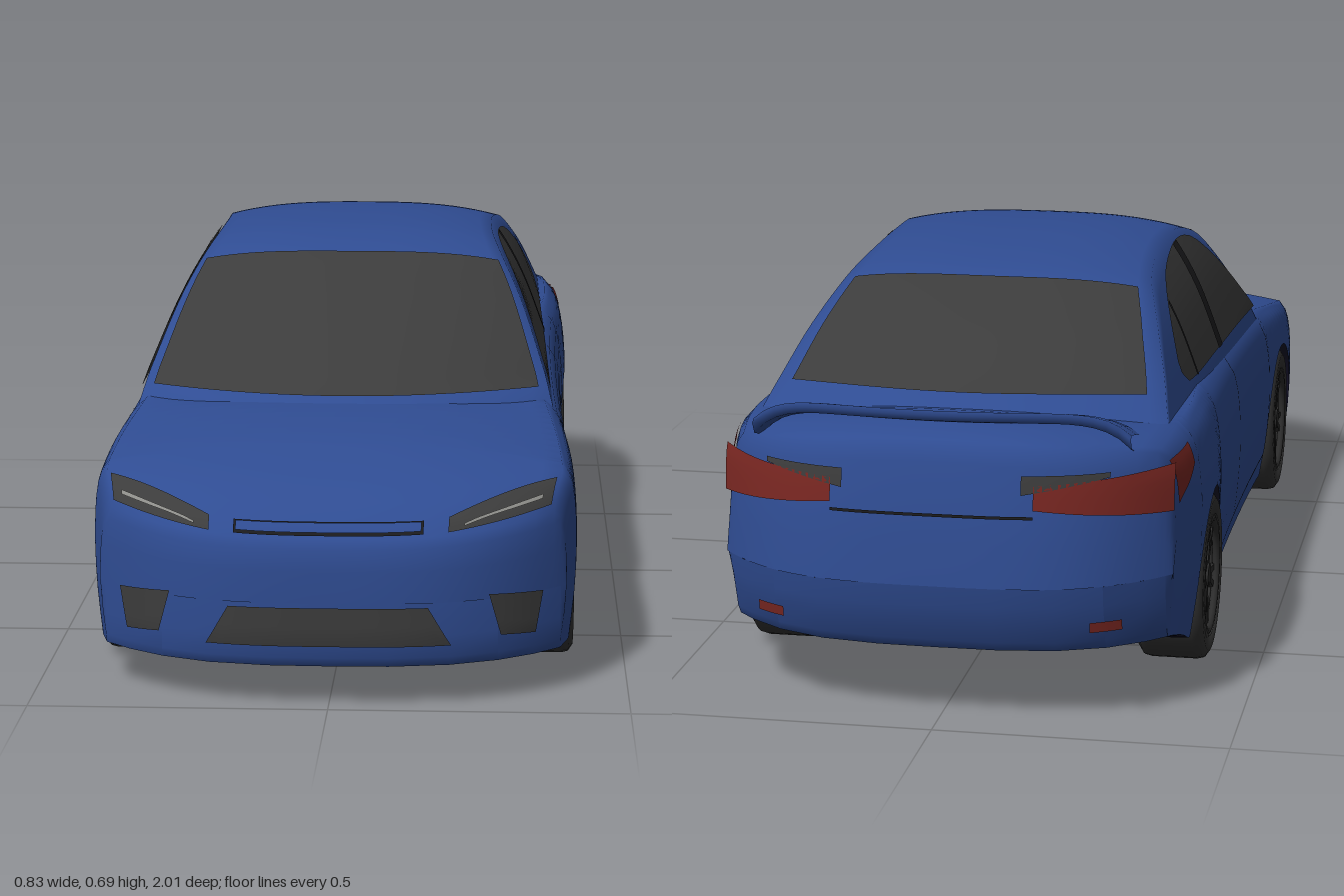
import * as THREE from 'three';

const material = (name, color) => new THREE.MeshStandardMaterial({ name, color, side: THREE.DoubleSide });

// Smooth interpolation through [x, y] points given in ascending x, clamped at the ends
function curve(p) {
  const slope = (i) => {
    const a = p[Math.max(i - 1, 0)], b = p[Math.min(i + 1, p.length - 1)];
    return (b[1] - a[1]) / (b[0] - a[0]);
  };
  return (x) => {
    if (x <= p[0][0]) return p[0][1];
    if (x >= p[p.length - 1][0]) return p[p.length - 1][1];
    let i = 0;
    while (x > p[i + 1][0]) i++;
    const h = p[i + 1][0] - p[i][0], t = (x - p[i][0]) / h, t2 = t * t, t3 = t2 * t;
    return (2 * t3 - 3 * t2 + 1) * p[i][1] + (t3 - 2 * t2 + t) * h * slope(i)
      + (3 * t2 - 2 * t3) * p[i + 1][1] + (t3 - t2) * h * slope(i + 1);
  };
}

// Skin over a list of equally long cross-sections
function loft(name, mat, sections) {
  const n = sections[0].length, index = [];
  for (let i = 0; i < sections.length - 1; i++) {
    for (let j = 0; j < n - 1; j++) {
      const a = i * n + j, b = a + n;
      index.push(a, b, a + 1, b, b + 1, a + 1);
    }
  }
  const geo = new THREE.BufferGeometry();
  geo.setAttribute('position', new THREE.Float32BufferAttribute(sections.flat(2), 3));
  geo.setIndex(index);
  geo.computeVertexNormals();
  const mesh = new THREE.Mesh(geo, mat);
  mesh.name = name;
  return mesh;
}

function patch(name, mat, nu, nv, fn) {
  const rows = [];
  for (let i = 0; i <= nu; i++) {
    rows.push([]);
    for (let j = 0; j <= nv; j++) rows[i].push(fn(i / nu, j / nv));
  }
  return loft(name, mat, rows);
}

const lerp = THREE.MathUtils.lerp;
const mirror = (half) => [...half.map(([x, y, z]) => [-x, y, z]), ...half.slice(0, -1).reverse()];

// Lower body: half width, shoulder height, centre height and floor height along the length
const width = curve([[-0.955, 0.385], [-0.85, 0.4], [-0.7, 0.41], [-0.53, 0.413], [-0.35, 0.403], [0, 0.398],
  [0.4, 0.403], [0.6, 0.413], [0.76, 0.413], [0.85, 0.408], [0.985, 0.395]]);
const shoulder = curve([[-0.955, 0.455], [-0.85, 0.465], [-0.7, 0.47], [-0.45, 0.462], [0, 0.445], [0.4, 0.42],
  [0.6, 0.395], [0.8, 0.365], [0.9, 0.35], [0.97, 0.322], [0.985, 0.308]]);
const deck = curve([[-0.955, 0.488], [-0.9, 0.502], [-0.84, 0.505], [-0.78, 0.498], [-0.7, 0.475], [-0.6, 0.46],
  [0, 0.44], [0.4, 0.423], [0.54, 0.428], [0.7, 0.413], [0.8, 0.39], [0.9, 0.352], [0.97, 0.305], [0.985, 0.285]]);
const floorY = curve([[-0.955, 0.13], [-0.8, 0.105], [-0.69, 0.085], [-0.4, 0.07], [1, 0.07]]);
const inset = curve([[0, 0.02], [0.25, 0.006], [0.55, 0], [0.8, 0.006], [0.93, 0.02], [1, 0.045]]);
const insetScale = curve([[-1, 0.6], [-0.75, 0.9], [-0.5, 1], [0.4, 1], [0.85, 0.5], [1, 0.5]]);
const sideX = (s, y) => width(s) - insetScale(s) * inset((y - floorY(s)) / (shoulder(s) - floorY(s)));
const topY = (s, q) => lerp(deck(s), shoulder(s), Math.abs(q) ** 2.5);

// Rounds the nose and tail in plan
function warp(x, s) {
  const q = Math.abs(x) / 0.4;
  if (s > 0.77) return s - 0.16 * q ** 3 * Math.min(1, (s - 0.77) / 0.22);
  if (s < -0.7) return s + 0.16 * q ** 3.4 * Math.min(1, (-0.7 - s) / 0.25);
  return s;
}

const axles = [0.6, -0.53], archR = 0.16, axleY = 0.15;
function archY(s) {
  for (const c of axles) {
    const d = Math.abs(s - c);
    if (d <= archR + 1e-6) return axleY + Math.sqrt(Math.max(0, archR * archR - d * d));
  }
  return floorY(s);
}

// Stations along the car; f < 1 closes the section towards the bumper middle
function stations() {
  const s = [-0.955, 0.985];
  for (let z = -0.93; z < 0.98; z += 0.03) s.push(z);
  for (const c of axles) {
    s.push(c - archR - 0.001, c + archR + 0.001);
    for (let k = 0; k <= 16; k++) s.push(c + archR * Math.cos(k * Math.PI / 16));
  }
  return s.sort((a, b) => a - b).map((v) => [v, 1]);
}
const tailCap = [[-1, 0], [-0.993, 0.3], [-0.985, 0.5], [-0.97, 0.85], [-0.955, 1]];
const noseCap = [[0.985, 1], [0.996, 0.85], [1, 0.5], [1, 0]];
const middle = (s) => (s > 0 ? 0.18 : 0.25);
const finish = (half, s, f) => half.map(([x, y]) => [x, middle(s) + (y - middle(s)) * f, warp(x, s)]);

function shellSection([s, f]) {
  const half = [], a = archY(s), top = shoulder(s), edge = sideX(s, top);
  for (const g of [0, 0.12, 0.25, 0.4, 0.55, 0.7, 0.8, 0.88, 0.94]) {
    const y = lerp(a, top, g);
    half.push([sideX(s, y), y]);
  }
  for (let k = 12; k >= 0; k--) half.push([edge * k / 12, topY(s, k / 12)]);
  return mirror(finish(half, s, f));
}

function floorSection([s, f]) {
  const a = archY(s), y = floorY(s);
  const half = [[sideX(s, a), a], [0.34, a], [0.28, a], [0.28, y], [0.2, y], [0.1, y], [0, y]];
  return mirror(finish(half, s, f)).reverse();
}

// Points just outside the bumper faces, the hood and the body sides
const capDepth = curve([[0, 1], [0.3, 0.998], [0.5, 0.995], [0.85, 0.985], [1, 0.97]]);
function onBumper(x, y, end) {
  const s0 = end > 0 ? 0.985 : -0.955, m = middle(s0);
  const limit = y > m ? topY(s0, x / sideX(s0, shoulder(s0))) : floorY(s0);
  const f = Math.min(1, (y - m) / (limit - m));
  const s = end > 0 ? lerp(1, 0.99, Math.max(0, f - 0.5) * 2) : -lerp(1, capDepth(f), 1);
  return [x, y, warp(x, s) + end * 0.007];
}
const onHood = (q, s, lift = 0.005) => {
  const x = q * sideX(s, shoulder(s));
  return [x, topY(s, q) + lift, warp(x, s) + lift];
};
const onSide = (s, y, m) => {
  const x = sideX(s, y);
  return [m * (x + 0.004), y, warp(x, s)];
};

// Cabin: roof line and the lean of the sides
const roof = curve([[-0.84, 0.47], [-0.78, 0.503], [-0.72, 0.533], [-0.6, 0.6], [-0.45, 0.66], [-0.38, 0.675],
  [-0.28, 0.686], [-0.15, 0.692], [0, 0.688], [0.1, 0.676], [0.2, 0.646], [0.3, 0.582], [0.4, 0.515],
  [0.5, 0.45], [0.54, 0.428], [0.58, 0.4]]);
const cabinX = curve([[0.37, 0.385], [0.4, 0.376], [0.45, 0.362], [0.47, 0.355], [0.55, 0.325], [0.6, 0.302],
  [0.65, 0.273], [0.68, 0.25]]);
const cabinZ = (x, s) => s - (s > 0 ? 0.2 : 0.11) * s * (x / 0.33) ** 2;
const crown = (t) => 0.022 * THREE.MathUtils.clamp((t - 0.42) / 0.2, 0, 1);
function onRoof(q, s, lift = 0) {
  const t = roof(s), x = q * cabinX(t - crown(t));
  return [x, t - crown(t) * Math.abs(q) ** 3 + lift, cabinZ(x, s)];
}
function cabinSection(s) {
  const half = [], t = roof(s), top = t - crown(t);
  for (let k = 0; k < 12; k++) {
    const y = lerp(0.37, top, k / 12), x = cabinX(y);
    half.push([x, y, cabinZ(x, s)]);
  }
  for (let k = 12; k >= 0; k--) half.push(onRoof(k / 12, s));
  return mirror(half);
}

function makeWheel(mats) {
  const wheel = new THREE.Group();
  const add = (name, geo, mat) => {
    const mesh = new THREE.Mesh(geo, mat);
    mesh.name = name;
    wheel.add(mesh);
    return mesh;
  };
  const profile = [[0, -0.05], [0.1, -0.06], [0.135, -0.06], [0.147, -0.052], [0.15, -0.04], [0.15, 0.04], [0.147, 0.052],
    [0.135, 0.06], [0.108, 0.06], [0.104, 0.03]].map(([r, h]) => new THREE.Vector2(r, h));
  add('tyre', new THREE.LatheGeometry(profile, 40), mats.tyre);
  add('rimDish', new THREE.CylinderGeometry(0.105, 0.105, 0.02, 32), mats.trim).position.y = 0.022;
  add('rimRing', new THREE.TorusGeometry(0.101, 0.007, 8, 40).rotateX(Math.PI / 2), mats.rim).position.y = 0.053;
  add('hub', new THREE.CylinderGeometry(0.02, 0.024, 0.025, 20), mats.rim).position.y = 0.042;
  for (let k = 0; k < 5; k++) {
    for (const d of [-0.16, 0.16]) {
      const spoke = new THREE.BoxGeometry(0.09, 0.014, 0.011).translate(0.056, 0.044, 0);
      add('spoke', spoke.rotateY(k * Math.PI * 0.4 + d), mats.rim);
    }
  }
  wheel.rotation.z = -Math.PI / 2;
  const group = new THREE.Group();
  group.add(wheel);
  return group;
}

export function createModel() {
  const car = new THREE.Group();
  car.name = 'car';
  const paint = material('blue paint', 0x2f4c92), under = material('underside', 0x15132a);
  const glass = material('dark glass', 0x3c3c3c), trim = material('black trim', 0x1b1b1d);
  const lamp = material('lamp grey', 0x8c8c88), red = material('tail red', 0x7a2722);
  const tyre = material('tyre rubber', 0x333333), rim = material('rim grey', 0x2c2c2c);
  const add = (...parts) => car.add(...parts);

  // Body shell, floor and roof
  const rows = stations();
  add(loft('bodyShell', paint, [...tailCap.slice(0, -1), ...rows, ...noseCap.slice(1)].map(shellSection)));
  add(loft('underside', under, rows.map(floorSection)));
  add(loft('rearBumperLower', paint, tailCap.map(floorSection)), loft('frontBumperLower', paint, noseCap.map(floorSection)));
  const cabin = [];
  for (let k = 0; k <= 70; k++) cabin.push(cabinSection(-0.84 + 1.42 * k / 70));
  add(loft('cabin', paint, cabin));

  // Windscreen and rear window
  add(patch('windscreen', glass, 24, 24, (u, v) => onRoof(lerp(-0.95, 0.95, v), lerp(0.197, 0.53, u), 0.006)));
  add(patch('rearWindow', glass, 24, 24, (u, v) => onRoof(lerp(-0.91, 0.91, v), lerp(-0.758, -0.462, u), 0.006)));

  // Grilles
  add(patch('lowerGrille', glass, 4, 24, (u, v) => onBumper(lerp(-1, 1, v) * lerp(0.203, 0.165, u), lerp(0.108, 0.174, u), 1)));
  add(patch('upperGrille', trim, 2, 20, (u, v) => onHood(lerp(-0.42, 0.42, v), lerp(0.966, 0.983, u), 0.003)));
  add(patch('grilleBar', paint, 2, 20, (u, v) => onHood(lerp(-0.41, 0.41, v), lerp(0.97, 0.981, u), 0.006)));

  // Rear wing above the boot lid
  const wing = [];
  for (let k = 0; k <= 32; k++) {
    const q = k / 16 - 1, q2 = q * q, x = 0.32 * q, drop = 0.04 * q2 ** 4;
    const front = -0.865 + 0.07 * q2, back = -0.967 + 0.05 * q2, mid = (front + back) / 2;
    wing.push([[x, 0.509 - drop, front], [x, 0.526 - drop, mid], [x, 0.538 - drop, back + 0.008], [x, 0.532 - drop, back],
      [x, 0.52 - drop * 1.2, back + 0.012], [x, 0.509 - drop * 1.3, mid], [x, 0.509 - drop, front]]);
  }
  add(loft('rearWing', paint, wing));
  add(patch('bootSeam', trim, 1, 24, (u, v) => onBumper(lerp(-0.17, 0.17, v), lerp(0.37, 0.375, u), -1)));

  const winTop = curve([[-0.49, 0.525], [-0.45, 0.56], [-0.4, 0.592], [-0.33, 0.622], [-0.25, 0.643], [-0.1, 0.657], [0, 0.655],
    [0.08, 0.64], [0.14, 0.612], [0.25, 0.545], [0.41, 0.437]]);
  const winLow = curve([[-0.49, 0.505], [-0.45, 0.482], [-0.1, 0.462], [0.2, 0.447], [0.41, 0.434]]);
  for (const m of [1, -1]) {
    const side = m > 0 ? 'left' : 'right';
    // Side glass with its pillars
    const pane = (name, mat, z0, z1, lift) => patch(side + name, mat, 24, 10, (u, v) => {
      const z = lerp(z0, z1, u), y = lerp(winLow(z), winTop(z), v);
      return [m * (cabinX(y) + lift), y, z];
    });
    add(pane('SideGlass', glass, -0.49, 0.41, 0.004));
    add(pane('MiddlePillar', trim, -0.1, -0.055, 0.006), pane('QuarterBar', trim, -0.375, -0.362, 0.006));

    // Door and sill seams
    const seam = (z0, z1, y0, y1) => patch(side + 'Seam', trim, 10, 10,
      (u, v) => onSide(lerp(z0, z1, u), lerp(y0, y1, v), m));
    add(seam(0.403, 0.407, 0.125, 0.4), seam(-0.062, -0.058, 0.125, 0.435), seam(-0.33, 0.4, 0.122, 0.126));

    // Headlamp with a bright strip
    const headlamp = (name, mat, v0, v1, q0, q1, lift) => patch(side + name, mat, 16, 6, (u, v) => {
      const t = lerp(v0, v1, v);
      return onHood(m * lerp(q0, q1, u), lerp(lerp(0.964, 0.885, u), lerp(0.984, 0.976, u), t), lift);
    });
    add(headlamp('Headlamp', glass, 0, 1, 0.53, 0.985, 0.005), headlamp('LampStrip', lamp, 0.66, 0.8, 0.6, 0.94, 0.007));

    // Lower air intake
    add(patch(side + 'FogIntake', glass, 6, 10, (u, v) => {
      const x = lerp(lerp(0.285, 0.265, u), 0.355 - 0.012 * (1 - u), v);
      return onBumper(m * x, lerp(0.118 - 0.006 * v, 0.19 - 0.008 * v, u), 1);
    }));

    // Tail lamp wrapping round the corner
    add(patch(side + 'TailLampSide', red, 12, 6, (u, v) =>
      onSide(lerp(-0.955, -0.785, u), lerp(lerp(0.36, 0.41, u), lerp(0.438, 0.447, u), v), m)));
    add(patch(side + 'TailLampRear', red, 16, 6, (u, v) =>
      onBumper(m * lerp(0.385, 0.17, u), lerp(lerp(0.36, 0.385, u), lerp(0.438, 0.425, u), v), -1)));
    add(patch(side + 'TailLampTrim', glass, 12, 3, (u, v) =>
      onBumper(m * lerp(0.29, 0.15, u), lerp(lerp(0.434, 0.41, u), 0.442, v), -1)));
    add(patch(side + 'Reflector', red, 6, 3, (u, v) => onBumper(m * lerp(0.26, 0.31, u), lerp(0.172, 0.19, v), -1)));

    // Wheels
    for (const z of axles) {
      const wheel = makeWheel({ tyre, rim, trim });
      wheel.name = side + (z > 0 ? 'FrontWheel' : 'RearWheel');
      wheel.position.set(m * 0.35, axleY, z);
      if (m < 0) wheel.rotation.y = Math.PI;
      add(wheel);
    }
  }
  return car;
}
